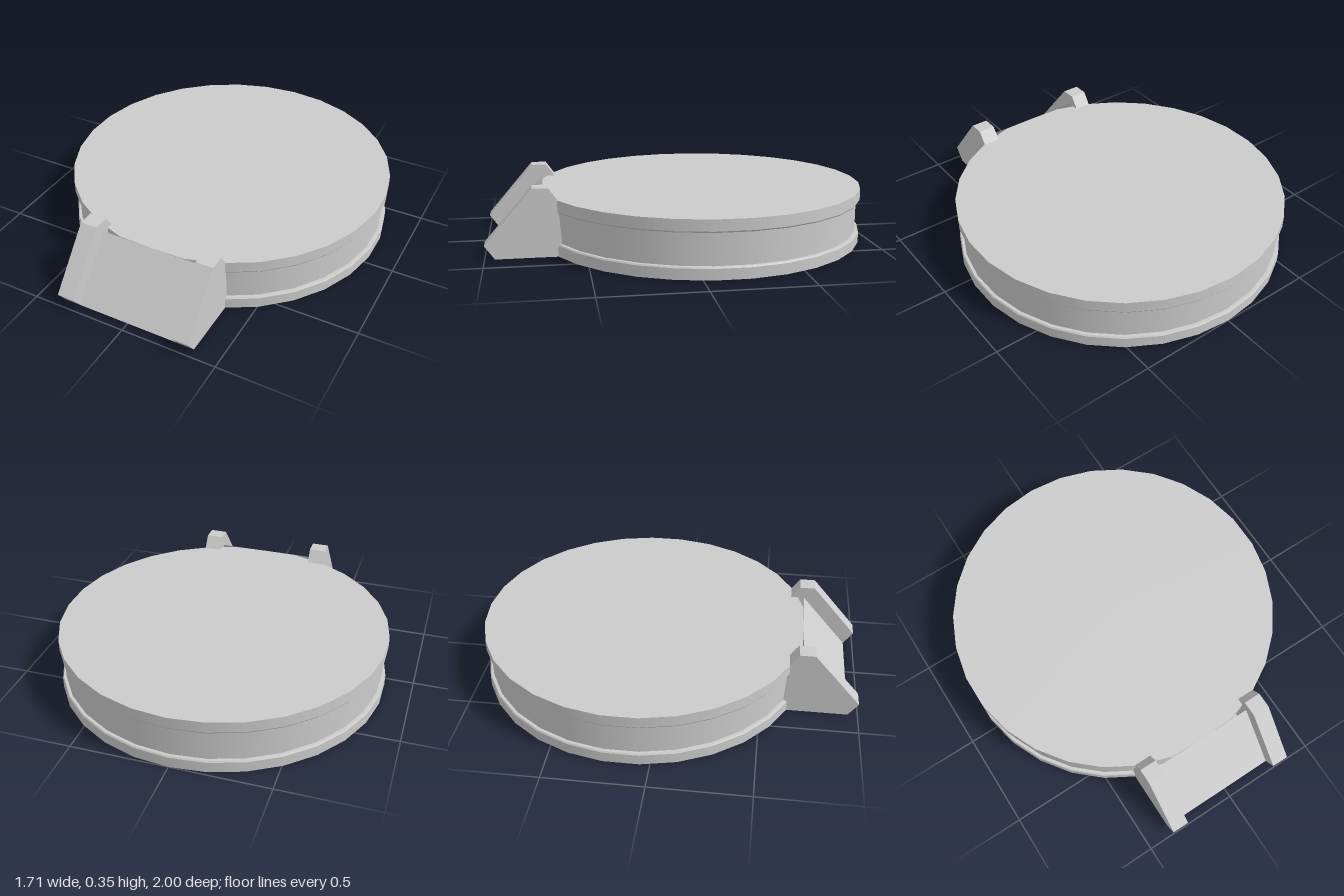
import * as THREE from 'three';

const material = new THREE.MeshStandardMaterial({ color: 0xcccccc, side: THREE.DoubleSide });
const SIDES = 30, CENTER_Z = -0.14, FRONT_Z = 0.705;

// One revolved strip between two profile points, flattened where it meets the ramp
function strip(r0, y0, r1, y1) {
  const g = new THREE.LatheGeometry([new THREE.Vector2(r0, y0), new THREE.Vector2(r1, y1)], SIDES);
  g.translate(0, 0, CENTER_Z);
  const p = g.attributes.position;
  for (let i = 0; i < p.count; i++) p.setZ(i, Math.min(p.getZ(i), FRONT_Z));
  return g;
}

function add(parent, name, geometry) {
  const mesh = new THREE.Mesh(geometry, material);
  mesh.name = name;
  parent.add(mesh);
  return mesh;
}

export function createModel() {
  const model = new THREE.Group();
  model.name = 'roundPlatform';

  // Hollow drum, open underneath: rim, recessed band, rim, flat top
  const drum = new THREE.Group();
  drum.name = 'drum';
  model.add(drum);
  const profile = [
    ['lowerRim', 0.86, 0],
    ['lowerRimChamfer', 0.86, 0.055],
    ['lowerLedge', 0.855, 0.062],
    ['band', 0.84, 0.062],
    ['upperLedge', 0.84, 0.223],
    ['upperRimChamfer', 0.855, 0.223],
    ['upperRim', 0.86, 0.23],
    ['topPlate', 0.86, 0.287],
    ['', 0, 0.287],
  ];
  for (let i = 0; i < profile.length - 1; i++) {
    const [name, r0, y0] = profile[i], [, r1, y1] = profile[i + 1];
    add(drum, name, strip(r0, y0, r1, y1));
  }

  // Sloping ramp sheet between the cheeks
  const rise = 0.287, run = 0.95 - FRONT_Z;
  const ramp = add(model, 'ramp', new THREE.PlaneGeometry(0.56, Math.hypot(rise, run)));
  ramp.rotation.x = -Math.atan2(run, rise);
  ramp.position.set(0, rise / 2, FRONT_Z + run / 2);

  // Cheeks on both sides of the ramp, profile drawn in z and y
  const outline = [[0.95, 0], [1, 0.07], [0.76, 0.35], [0.68, 0.35], [0.635, 0.287], [0.615, 0]];
  const shape = new THREE.Shape(outline.map(([z, y]) => new THREE.Vector2(z, y)));
  const cheek = new THREE.ExtrudeGeometry(shape, { depth: 0.09, bevelEnabled: false });
  cheek.rotateY(-Math.PI / 2).translate(0.045, 0, 0);
  for (const [name, x] of [['leftCheek', 0.318], ['rightCheek', -0.318]]) {
    add(model, name, cheek).position.x = x;
  }
  return model;
}
